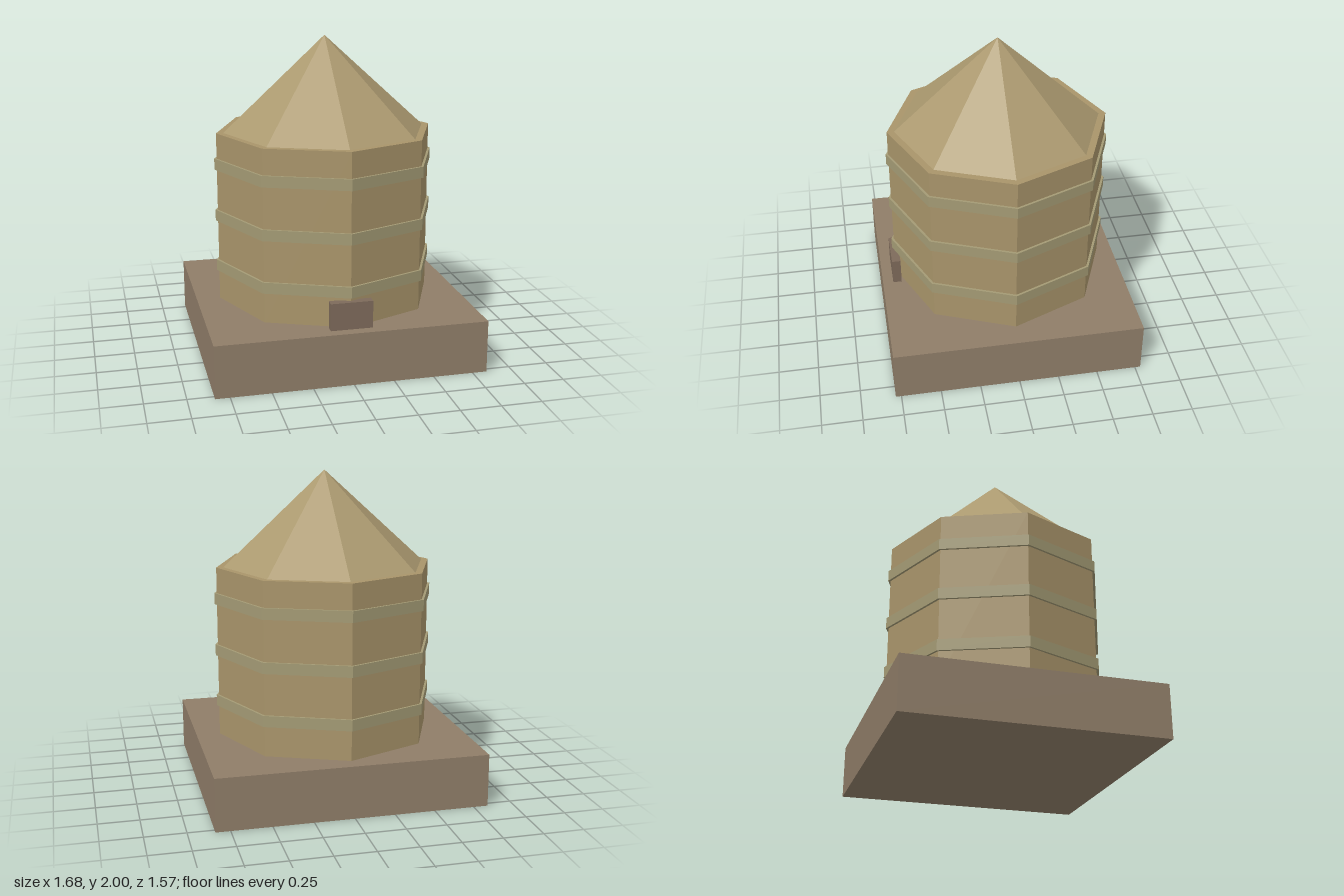
import * as THREE from 'three';

const paint = (color) => new THREE.MeshStandardMaterial({ color, flatShading: true });

export function createModel() {
  const model = new THREE.Group();
  model.name = 'granaryTower';

  const stone = paint(0x8f7d68);
  const wall = paint(0xa8946a);
  const trim = paint(0xa39a74);
  const roofing = paint(0xac9a70);
  const wood = paint(0x7d6a5a);

  const add = (name, geometry, material, y, z = 0) => {
    const mesh = new THREE.Mesh(geometry, material);
    mesh.name = name;
    mesh.position.set(0, y, z);
    model.add(mesh);
  };

  // Eight-sided prism with corners on the axes
  const octagon = (radius, height) => new THREE.CylinderGeometry(radius, radius, height, 8);

  // Square plinth
  add('base', new THREE.BoxGeometry(1.68, 0.33, 1.57), stone, 0.165);

  // Tower wall, from the plinth to the eaves
  add('tower', octagon(0.69, 1.08), wall, 0.87);

  // Three raised bands around the wall
  [0.555, 0.885, 1.215].forEach((y, i) => add(`band${i + 1}`, octagon(0.705, 0.07), trim, y));

  // Pointed roof, set in slightly from the wall
  add('roof', new THREE.ConeGeometry(0.645, 0.59, 8), roofing, 1.705);

  // Small door at the front corner
  add('door', new THREE.BoxGeometry(0.26, 0.17, 0.055), wood, 0.415, 0.69);

  return model;
}
